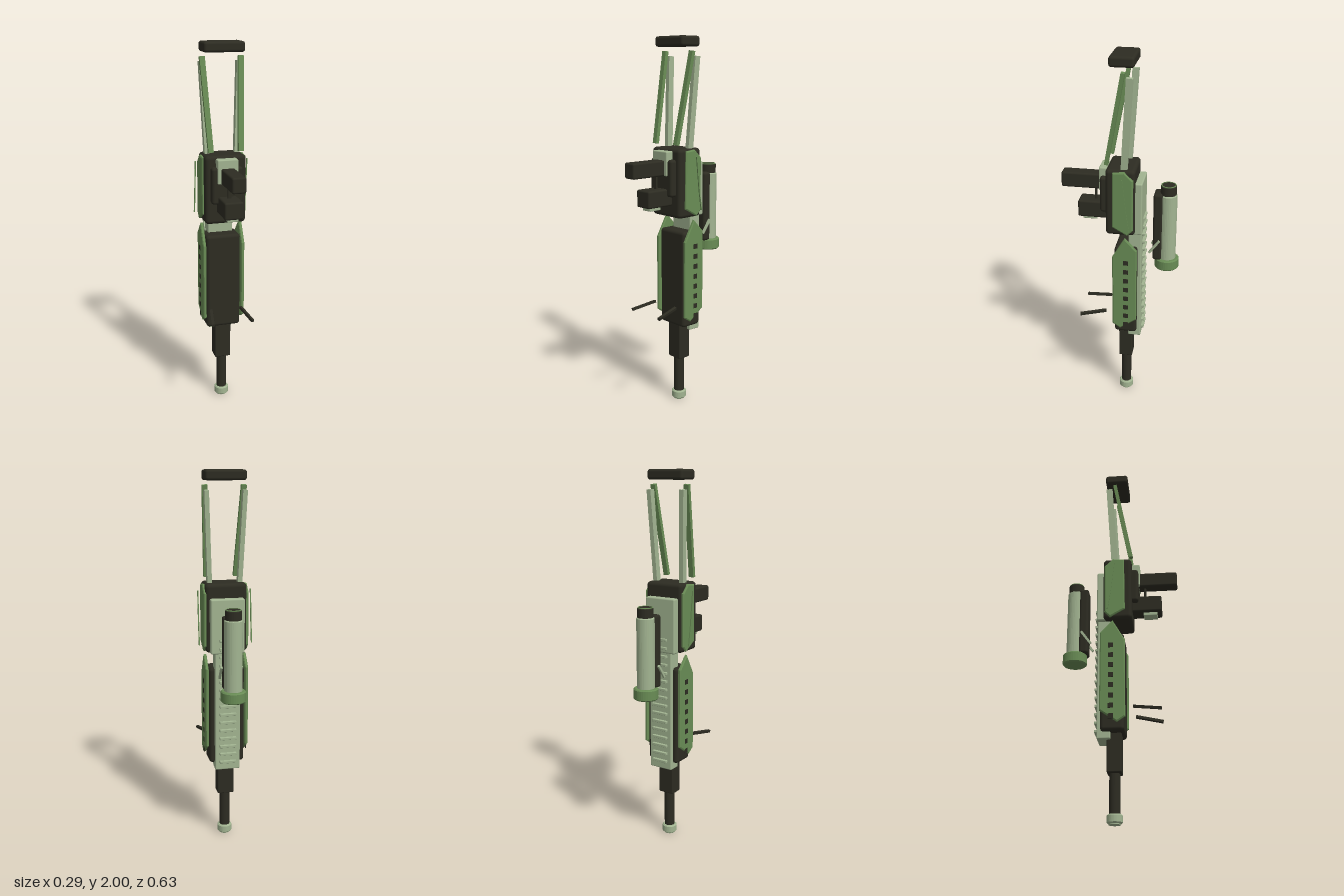
import * as THREE from 'three';
import { RoundedBoxGeometry } from 'three/addons/geometries/RoundedBoxGeometry.js';

const mat = (name, color) => {
  const m = new THREE.MeshStandardMaterial({ color });
  m.name = name;
  return m;
};

export function createModel() {
  const dark = mat('dark olive', 0x2d2c22);
  const green = mat('moss green', 0x698c55);
  const pale = mat('pale sage', 0xa2b491);
  const root = new THREE.Group();
  root.name = 'rifle';

  const add = (name, geo, m) => {
    const mesh = new THREE.Mesh(geo, m);
    mesh.name = name;
    root.add(mesh);
    return mesh;
  };
  // Rounded block given by its limits along each axis
  const block = (name, m, [x0, x1], [y0, y1], [z0, z1], r = 0.01) => {
    const g = new RoundedBoxGeometry(x1 - x0, y1 - y0, z1 - z0, 3, r);
    g.translate((x0 + x1) / 2, (y0 + y1) / 2, (z0 + z1) / 2);
    return add(name, g, m);
  };
  // Square bar between two points
  const bar = (name, m, a, b, w, d) => {
    const p = new THREE.Vector3(...a), q = new THREE.Vector3(...b);
    const dir = q.clone().sub(p);
    const mesh = add(name, new THREE.BoxGeometry(w, dir.length(), d), m);
    mesh.position.copy(p).add(q).multiplyScalar(0.5);
    mesh.quaternion.setFromUnitVectors(new THREE.Vector3(0, 1, 0), dir.normalize());
    return mesh;
  };
  // Upright cylinder between two heights
  const tube = (name, m, r, y0, y1, z) => {
    const b = 0.006;
    const pts = [[0, y0], [r - b, y0], [r, y0 + b], [r, y1 - b], [r - b, y1], [0, y1]];
    const g = new THREE.LatheGeometry(pts.map(p => new THREE.Vector2(...p)), 32).toNonIndexed();
    g.computeVertexNormals();
    return add(name, g, m).position.set(0, 0, z);
  };

  // Barrel, running down to the muzzle
  tube('muzzle', pale, 0.04, 0.005, 0.05, -0.032);
  add('muzzleLip', new THREE.CylinderGeometry(0.03, 0.03, 0.01, 32), pale).position.set(0, 0.005, -0.032);
  tube('barrel', dark, 0.028, 0.04, 0.27, -0.032);
  block('barrelSleeve', dark, [-0.045, 0.045], [0.25, 0.47], [-0.07, 0.005], 0.006);

  // Main body
  block('handguard', dark, [-0.095, 0.095], [0.45, 0.985], [-0.1, 0.022], 0.018);
  block('receiver', dark, [-0.11, 0.11], [1.065, 1.43], [-0.088, 0.066], 0.02);
  block('spine', pale, [-0.068, 0.068], [0.415, 1.2], [-0.12, -0.05], 0.006);
  block('spineCover', pale, [-0.09, 0.09], [1.065, 1.355], [-0.124, -0.075], 0.008);

  // Accessory rail
  for (let i = 0; i < 16; i++) {
    const y = 0.462 + i * 0.045;
    block('railTooth', pale, [-0.045, 0.045], [y - 0.007, y + 0.007], [-0.135, -0.115], 0.002);
  }

  // Grip side
  block('gripBase', dark, [-0.083, 0.083], [1.18, 1.375], [0.05, 0.1], 0.015);
  block('gripPlate', pale, [-0.055, 0.055], [1.29, 1.418], [0.06, 0.108], 0.006);
  block('grip', dark, [-0.037, 0.037], [1.29, 1.372], [0.09, 0.312], 0.01);
  block('magazine', dark, [-0.05, 0.05], [1.13, 1.222], [0.06, 0.224], 0.01);
  block('magazineFoot', pale, [-0.03, 0.03], [1.112, 1.135], [0.125, 0.2], 0.004);
  block('trigger', dark, [-0.01, 0.01], [1.21, 1.3], [0.128, 0.14], 0.003);

  // Stock
  block('buttPad', dark, [-0.107, 0.107], [1.947, 2], [-0.08, 0.046], 0.014);

  // Side armour outlines as [z, y]
  const lower = [[0.03, 0.935], [-0.036, 1.05], [-0.102, 0.98], [-0.102, 0.55], [-0.012, 0.487], [0.03, 0.515]];
  const upper = [[0.026, 1.418], [-0.034, 1.424], [-0.08, 1.38], [-0.08, 1.1], [-0.05, 1.07], [0.03, 1.115]];
  const panel = (name, outline, s, x) => {
    const g = new THREE.ExtrudeGeometry(new THREE.Shape(outline.map(p => new THREE.Vector2(...p))), {
      depth: 0.01, bevelEnabled: true, bevelThickness: 0.004, bevelSize: 0.006, bevelOffset: -0.006, bevelSegments: 1,
    });
    g.rotateY(-Math.PI / 2);
    g.translate(s * x + 0.005, 0, 0);
    add(name, g, green);
  };

  for (const s of [-1, 1]) {
    panel('handguardPanel', lower, s, 0.107);
    panel('receiverPanel', upper, s, 0.111);

    // Vent slots
    for (let i = 0; i < 8; i++) {
      add('vent', new THREE.BoxGeometry(0.004, 0.026, 0.026), dark)
        .position.set(s * 0.116, 0.905 - i * 0.0555, -0.044);
    }

    // Thin trim floating beside the receiver
    const trim = [[-0.026, 1.39], [-0.036, 1.3], [-0.046, 1.21], [-0.062, 1.105]];
    for (let i = 0; i < 3; i++) {
      const [za, ya] = trim[i], [zb, yb] = trim[i + 1];
      bar('trim', green, [s * 0.141, ya, za], [s * 0.141, yb, zb], 0.006, 0.005);
    }

    // Stock struts and folding legs
    bar('frontStrut', green, [s * 0.08, 1.45, 0.063], [s * 0.102, 1.925, -0.026], 0.028, 0.02);
    bar('rearStrut', pale, [s * 0.08, 1.41, -0.028], [s * 0.1, 1.9, -0.058], 0.024, 0.034);
    bar('leg', dark, [s * 0.083, 0.575, 0.07], [s * 0.109, 0.552, 0.213], 0.015, 0.014);

    // Sight arms
    bar('sightArm', pale, [s * 0.053, 0.948, -0.16], [s * 0.053, 1.02, -0.212], 0.011, 0.012);
  }

  // Sight
  block('sightMount', dark, [-0.047, 0.047], [0.9, 1.283], [-0.225, -0.176], 0.014);
  tube('sightTube', pale, 0.047, 0.89, 1.275, -0.25);
  tube('sightBell', green, 0.065, 0.845, 0.905, -0.25);
  tube('sightEyepiece', dark, 0.042, 1.26, 1.325, -0.25);
  const ring = add('eyepieceRing', new THREE.TorusGeometry(0.037, 0.003, 8, 32), green);
  ring.rotation.x = Math.PI / 2;
  ring.position.set(0, 1.324, -0.25);

  return root;
}
